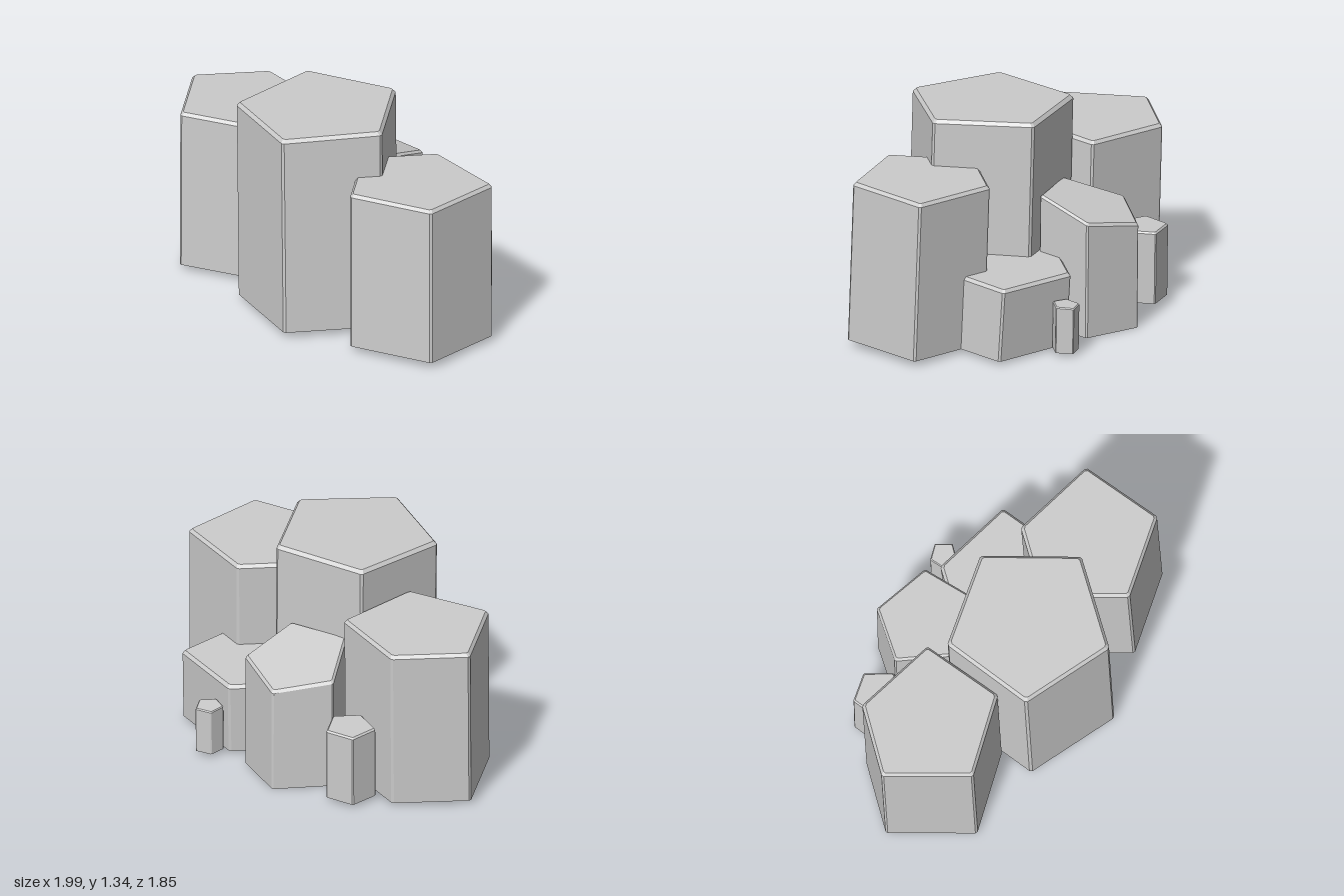
import * as THREE from 'three';

// Each column: five top corners [x, z] clockwise from above, top height h, foot height y0,
// top slopes along x and z, lean of the foot (dx, dz) and bevel size.
const COLUMNS = [
  { name: 'tallColumn', h: 1.325, y0: 0.03, sx: 0.02, sz: 0.01, dx: 0.016, dz: 0.03, bevel: 0.022,
    corners: [[-0.25, -0.365], [0.32, -0.17], [0.317, 0.44], [-0.265, 0.615], [-0.615, 0.115]] },
  { name: 'backRightColumn', h: 1.045, y0: 0.03, sx: 0, sz: 0.03, dx: 0, dz: 0.025, bevel: 0.02,
    corners: [[-0.54, -0.875], [-0.163, -0.485], [-0.475, -0.055], [-0.998, -0.2], [-0.998, -0.75]] },
  { name: 'frontLeftColumn', h: 1.045, y0: 0.035, sx: 0, sz: 0.03, dx: 0.005, dz: 0.032, bevel: 0.02,
    corners: [[0.61, 0.07], [0.995, 0.46], [0.68, 0.895], [0.163, 0.73], [0.163, 0.2]] },
  { name: 'slantedColumn', h: 0.76, y0: 0.008, sx: -0.04, sz: 0.29, dx: 0.002, dz: 0.006, bevel: 0.016,
    corners: [[0.21, -0.795], [0.44, -0.505], [0.22, -0.2], [-0.142, -0.3], [-0.142, -0.68]] },
  { name: 'lowLeftColumn', h: 0.483, y0: 0.023, sx: 0, sz: 0.035, dx: 0, dz: 0.025, bevel: 0.02,
    corners: [[0.56, -0.415], [0.93, -0.04], [0.61, 0.39], [0.09, 0.24], [0.09, -0.275]] },
  { name: 'smallBackColumn', h: 0.485, y0: 0.025, sx: 0, sz: 0.04, dx: 0, dz: 0.005, bevel: 0.011,
    corners: [[-0.315, -0.93], [-0.138, -0.87], [-0.138, -0.685], [-0.305, -0.637], [-0.425, -0.785]] },
  { name: 'smallSideColumn', h: 0.318, y0: 0.025, sx: 0, sz: 0.06, dx: 0, dz: 0.004, bevel: 0.007,
    corners: [[0.655, -0.476], [0.757, -0.45], [0.757, -0.343], [0.655, -0.315], [0.597, -0.392]] },
];

// Cut each corner into two points, one along each neighbouring edge
function chamfer(corners, cut) {
  const points = corners.map(([x, z]) => new THREE.Vector2(x, z));
  return points.flatMap((p, i) => [points.at(i - 1), points[(i + 1) % points.length]]
    .map((q) => p.clone().add(q.clone().sub(p).setLength(cut))));
}

// Open-footed prism lofted through foot, shoulder and bevelled rim, closed by a flat top
function columnGeometry({ corners, h, y0, sx, sz, dx, dz, bevel }) {
  const outline = chamfer(corners, bevel * 0.55);
  const n = outline.length;
  const centre = outline.reduce((sum, p) => sum.add(p), new THREE.Vector2()).divideScalar(n);
  const topY = (p) => h + sx * (p.x - centre.x) + sz * (p.y - centre.y);

  const foot = outline.map((p) => [p.x + dx, y0 + 0.025 * (p.y - centre.y), p.y + dz]);
  const shoulder = outline.map((p) => [p.x, topY(p) - bevel, p.y]);
  const rim = outline.map((p) => {
    const d = p.clone().sub(centre);
    const q = d.setLength(d.length() - bevel).add(centre);
    return [q.x, topY(q), q.y];
  });

  const rings = [foot, shoulder, rim];
  const positions = [...rings.flat(2), centre.x, h, centre.y];
  const index = [];
  for (let i = 0; i < n; i++) {
    const j = (i + 1) % n;
    for (let r = 0; r < 2; r++) {
      const low = r * n, high = low + n;
      index.push(low + j, low + i, high + i, low + j, high + i, high + j);
    }
    index.push(3 * n, 2 * n + j, 2 * n + i);
  }

  const geometry = new THREE.BufferGeometry();
  geometry.setAttribute('position', new THREE.Float32BufferAttribute(positions, 3));
  geometry.setIndex(index);
  const flat = geometry.toNonIndexed();
  flat.computeVertexNormals();
  return flat;
}

export function createModel() {
  const group = new THREE.Group();
  group.name = 'rockColumns';
  const stone = new THREE.MeshStandardMaterial({
    color: 0xcccccc, flatShading: true, side: THREE.DoubleSide,
  });
  for (const column of COLUMNS) {
    const mesh = new THREE.Mesh(columnGeometry(column), stone);
    mesh.name = column.name;
    group.add(mesh);
  }
  return group;
}
